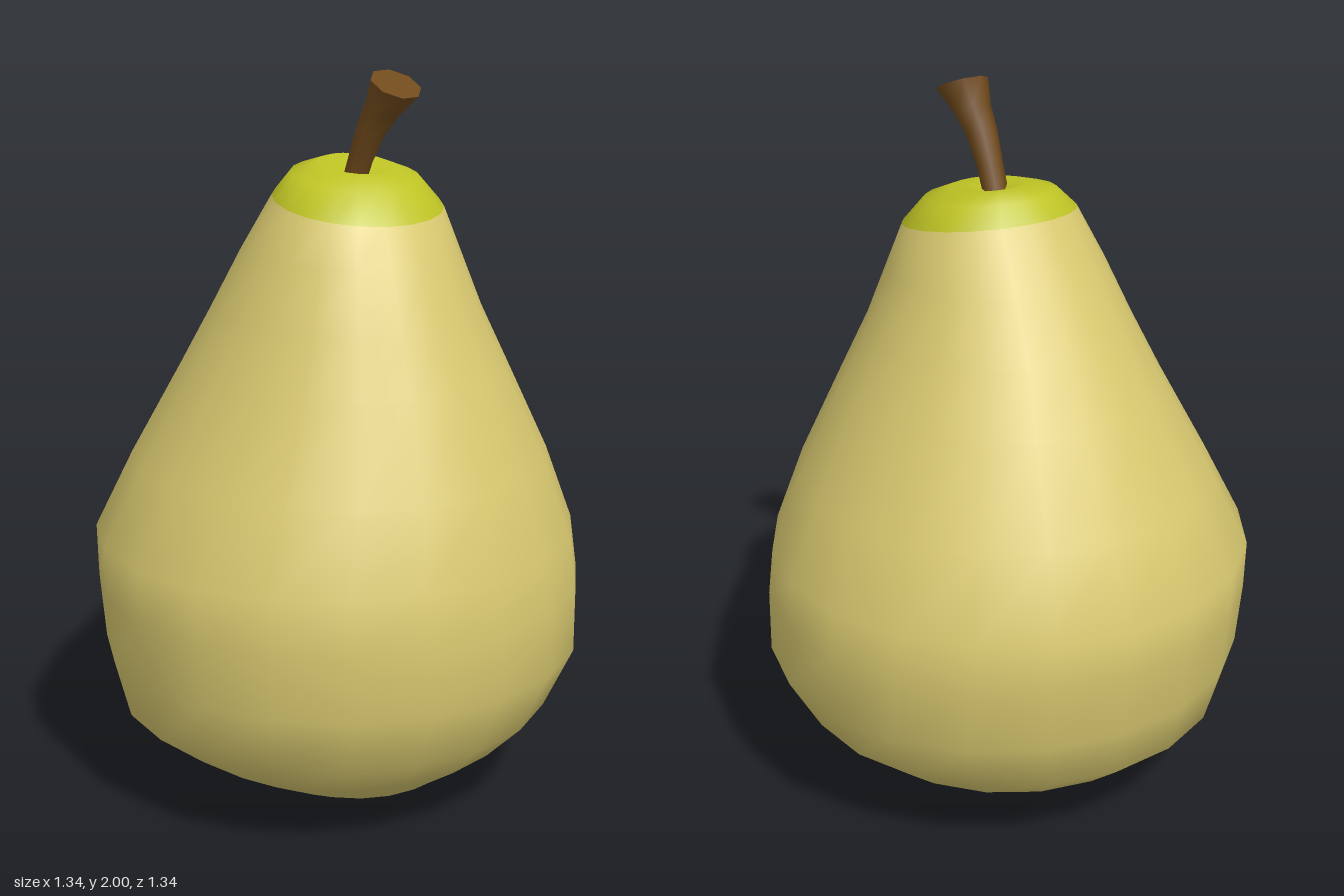
import * as THREE from 'three';

const SEG = 20;

// Closed skin through rings of points; faces of band i get materialOf(i).
function loft(rings, seg, bandMaterials) {
  const positions = rings.flat();
  const index = [];
  const geometry = new THREE.BufferGeometry();
  for (let i = 0; i < rings.length - 1; i++) {
    geometry.addGroup(index.length, seg * 6, bandMaterials[i]);
    for (let j = 0; j < seg; j++) {
      const a = i * seg + j, b = i * seg + (j + 1) % seg;
      const c = a + seg, d = b + seg;
      index.push(a, c, b, b, c, d);
    }
  }
  geometry.setAttribute('position', new THREE.Float32BufferAttribute(positions, 3));
  geometry.setIndex(index);
  geometry.computeVertexNormals();
  return geometry;
}

// Oval ring from its extents; tilt lifts the -x side, ragged makes a torn outline.
function ovalRing(y, x0, x1, z0, z1, tilt = 0, ragged = 0) {
  const points = [];
  for (let j = 0; j < SEG; j++) {
    const t = j / SEG * Math.PI * 2;
    const r = 1 + ragged * (Math.sin(t * 5 + 0.6) + 0.6 * Math.sin(t * 8));
    points.push(
      (x0 + x1) / 2 + (x1 - x0) / 2 * r * Math.cos(t),
      y - tilt * Math.cos(t),
      (z0 + z1) / 2 + (z1 - z0) / 2 * r * Math.sin(t)
    );
  }
  return points;
}

// Round ring for the stem, leaning towards +x by the angle lean
function stemRing(x, y, z, r, lean) {
  const points = [];
  for (let j = 0; j < 8; j++) {
    const t = (j + 0.5) / 8 * Math.PI * 2;
    const u = r * Math.cos(t);
    points.push(x + u * Math.cos(lean), y - u * Math.sin(lean), z + r * Math.sin(t));
  }
  return points;
}

export function createModel() {
  const group = new THREE.Group();
  const material = (name, color) => {
    const m = new THREE.MeshStandardMaterial({ color });
    m.name = name;
    return m;
  };
  const skin = material('pearSkin', 0xd9c970);
  const green = material('greenSkin', 0xbfc425);
  const brown = material('stemBrown', 0x704a1c);

  // Fruit: blossom end, belly, neck and dimpled crown
  const rings = [
    ovalRing(0.012, 0.03, 0.03, -0.03, -0.03),
    ovalRing(0.003, -0.12, 0.18, -0.18, 0.12, 0, 0.09),
    ovalRing(0.0, -0.14, 0.21, -0.2, 0.14, 0, 0.07),
    ovalRing(0.025, -0.22, 0.3, -0.28, 0.23),
    ovalRing(0.08, -0.33, 0.38, -0.36, 0.35),
    ovalRing(0.16, -0.46, 0.5, -0.46, 0.49),
    ovalRing(0.26, -0.58, 0.6, -0.58, 0.62),
    ovalRing(0.42, -0.64, 0.66, -0.67, 0.66),
    ovalRing(0.6, -0.66, 0.665, -0.67, 0.67),
    ovalRing(0.74, -0.67, 0.645, -0.66, 0.665),
    ovalRing(0.95, -0.58, 0.58, -0.57, 0.56),
    ovalRing(1.2, -0.44, 0.47, -0.445, 0.43),
    ovalRing(1.36, -0.345, 0.405, -0.36, 0.355),
    ovalRing(1.52, -0.25, 0.33, -0.3, 0.285),
    ovalRing(1.648, -0.15, 0.275, -0.255, 0.222, 0.035),
    ovalRing(1.715, -0.12, 0.21, -0.2, 0.155, 0.02),
    ovalRing(1.741, -0.06, 0.14, -0.13, 0.07, 0.014),
    ovalRing(1.7, 0.07, 0.07, 0.005, 0.005)
  ];
  // Bands: torn brown patch, pale fringe, green halo, skin, green crown
  const bands = rings.slice(1).map((_, i) => i === 0 ? 2 : i === 2 || i >= 14 ? 1 : 0);
  const fruit = new THREE.Mesh(loft(rings, SEG, bands), [skin, green, brown]);
  fruit.name = 'fruit';
  group.add(fruit);

  // Stem, flaring towards its cut end
  const stemRings = [
    stemRing(0.068, 1.68, 0.01, 0.034, 0.1),
    stemRing(0.1, 1.77, 0.005, 0.035, 0.35),
    stemRing(0.136, 1.85, 0, 0.042, 0.4),
    stemRing(0.168, 1.905, -0.01, 0.05, 0.45),
    stemRing(0.207, 1.967, -0.02, 0.07, 0.47)
  ];
  const stem = new THREE.Mesh(loft(stemRings, 8, [0, 0, 0, 0]), [brown]);
  stem.name = 'stem';
  group.add(stem);

  // Flat cut end of the stem
  const rim = stemRings[stemRings.length - 1];
  const endGeometry = loft([rim, stemRing(0.207, 1.967, -0.02, 0, 0)], 8, [0]);
  const stemEnd = new THREE.Mesh(endGeometry, [brown]);
  stemEnd.name = 'stemEnd';
  group.add(stemEnd);

  return group;
}
